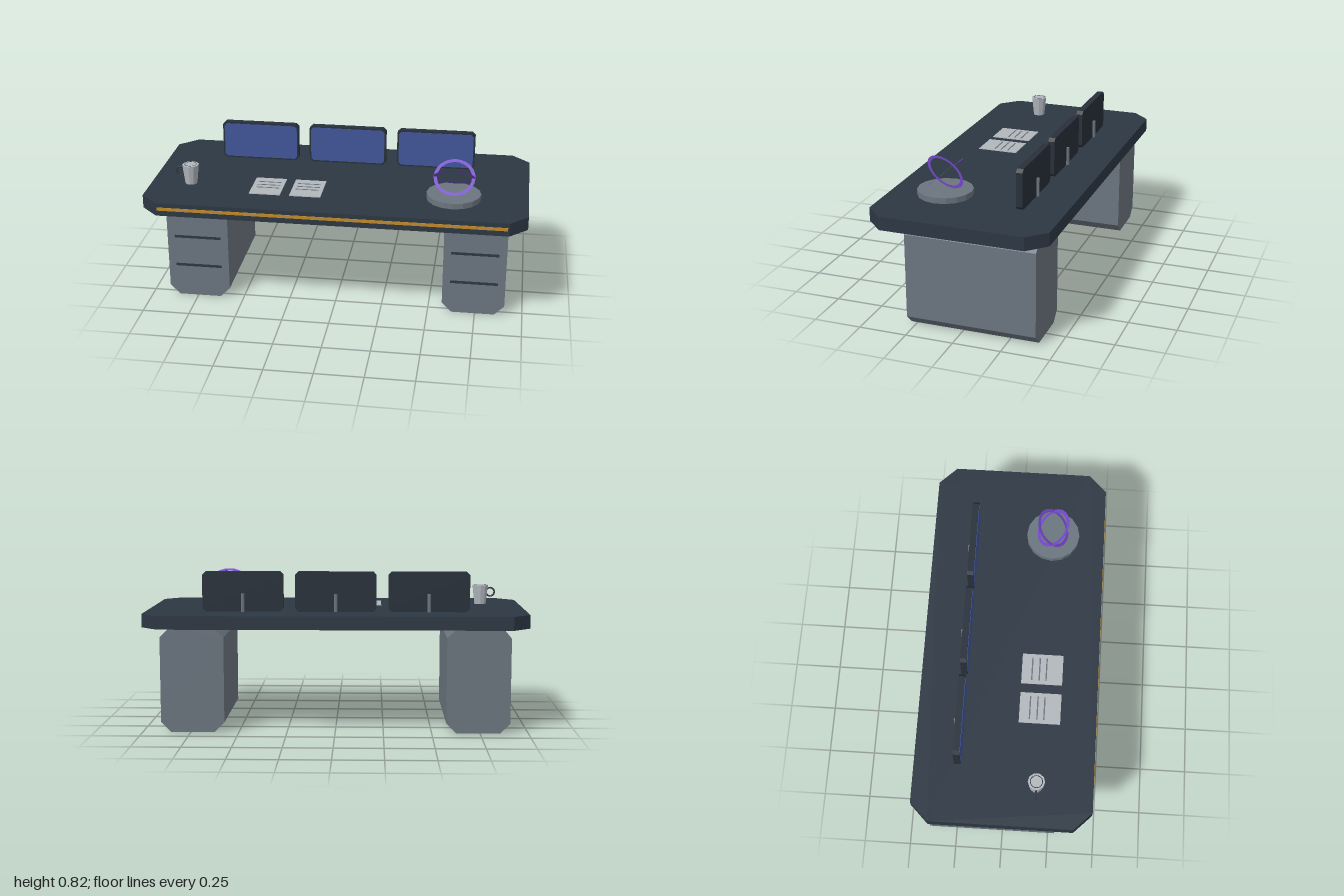
import * as THREE from 'three';

const mat = (name, color) => {
  const m = new THREE.MeshStandardMaterial({ color });
  m.name = name;
  return m;
};

// faceted look without smoothing
const facet = (g) => {
  const f = g.index ? g.toNonIndexed() : g;
  f.computeVertexNormals();
  return f;
};

// rectangle with cut corners, extruded and centred on the origin
function chamferSlab(w, h, depth, c) {
  const x = w / 2, y = h / 2;
  const pts = [[-x + c, -y], [x - c, -y], [x, -y + c], [x, y - c],
    [x - c, y], [-x + c, y], [-x, y - c], [-x, -y + c]];
  const shape = new THREE.Shape(pts.map(([a, b]) => new THREE.Vector2(a, b)));
  return new THREE.ExtrudeGeometry(shape, { depth, bevelEnabled: false })
    .translate(0, 0, -depth / 2);
}

export function createModel() {
  const desk = new THREE.Group();
  desk.name = 'desk';
  const navy = mat('dark slate', 0x2d3743);
  const frame = mat('monitor frame', 0x28303a);
  const grey = mat('steel grey', 0x6b757f);
  const blue = mat('screen blue', 0x41569a);
  const amber = mat('amber trim', 0xc08a2c);
  const pale = mat('pale grey', 0xb2b7bc);
  const violet = mat('hologram violet', 0x7348c8);
  violet.side = THREE.DoubleSide;

  const add = (parent, name, geo, material, x, y, z) => {
    const m = new THREE.Mesh(geo, material);
    m.name = name;
    m.position.set(x, y, z);
    parent.add(m);
    return m;
  };
  const group = (name, x, y, z) => {
    const g = new THREE.Group();
    g.name = name;
    g.position.set(x, y, z);
    desk.add(g);
    return g;
  };
  const box = (w, h, d) => new THREE.BoxGeometry(w, h, d);
  const TOP = 0.615;

  // table top with amber front strip
  add(desk, 'tableTop', chamferSlab(2, 0.926, 0.07, 0.093).rotateX(-Math.PI / 2), navy, 0, 0.58, 0);
  add(desk, 'frontTrim', box(1.8, 0.017, 0.005), amber, 0, 0.583, 0.4635);

  // drawer pedestals
  for (const s of [-1, 1]) {
    const p = group(s > 0 ? 'leftPedestal' : 'rightPedestal', s * 0.74, 0, 0);
    add(p, 'cabinet', chamferSlab(0.33, 0.548, 0.68, 0.052), grey, 0, 0.274, -0.056);
    for (const y of [0.18, 0.347]) add(p, 'drawerGap', box(0.25, 0.014, 0.004), navy, 0, y, 0.285);
  }

  // three monitors with short rear posts
  for (const x of [-0.487, 0, 0.487]) {
    const m = group('monitor', x, 0, -0.238);
    add(m, 'monitorFrame', chamferSlab(0.425, 0.21, 0.034, 0.017), frame, 0, 0.72, 0);
    add(m, 'screen', chamferSlab(0.407, 0.192, 0.003, 0.014), blue, 0, 0.72, 0.018);
    add(m, 'post', facet(new THREE.CylinderGeometry(0.009, 0.009, 0.095, 8)), grey, 0, TOP + 0.0475, -0.023);
  }

  // printed sheets
  for (const x of [-0.372, -0.158]) {
    const p = group('sheet', x, TOP, 0.168);
    add(p, 'paper', box(0.165, 0.004, 0.215), pale, 0, 0.002, 0);
    for (const z of [-0.053, -0.014, 0.022])
      add(p, 'textLine', box(0.124, 0.002, 0.007), grey, 0, 0.0045, z);
  }

  // mug with rim line and side handle
  const mug = group('mug', -0.789, TOP, 0.17);
  add(mug, 'mugBody', facet(new THREE.CylinderGeometry(0.044, 0.032, 0.105, 10)), pale, 0, 0.0525, 0);
  add(mug, 'mugRim', new THREE.RingGeometry(0.029, 0.033, 20).rotateX(-Math.PI / 2), navy, 0, 0.1065, 0);
  add(mug, 'mugHandle', facet(new THREE.TorusGeometry(0.023, 0.005, 5, 12)), navy, -0.055, 0.066, 0);

  // projector disc with two crossing flat rings
  const proj = group('projector', 0.612, TOP, 0.185);
  add(proj, 'projectorBase', facet(new THREE.CylinderGeometry(0.142, 0.142, 0.03, 16)), grey, 0, 0.015, 0);
  for (const s of [-1, 1]) {
    const ring = add(proj, 'hologramRing', new THREE.RingGeometry(0.09, 0.108, 24), violet, 0, 0.117, -0.002);
    ring.rotation.x = -Math.PI / 2 + s * 0.69;
  }
  return desk;
}
